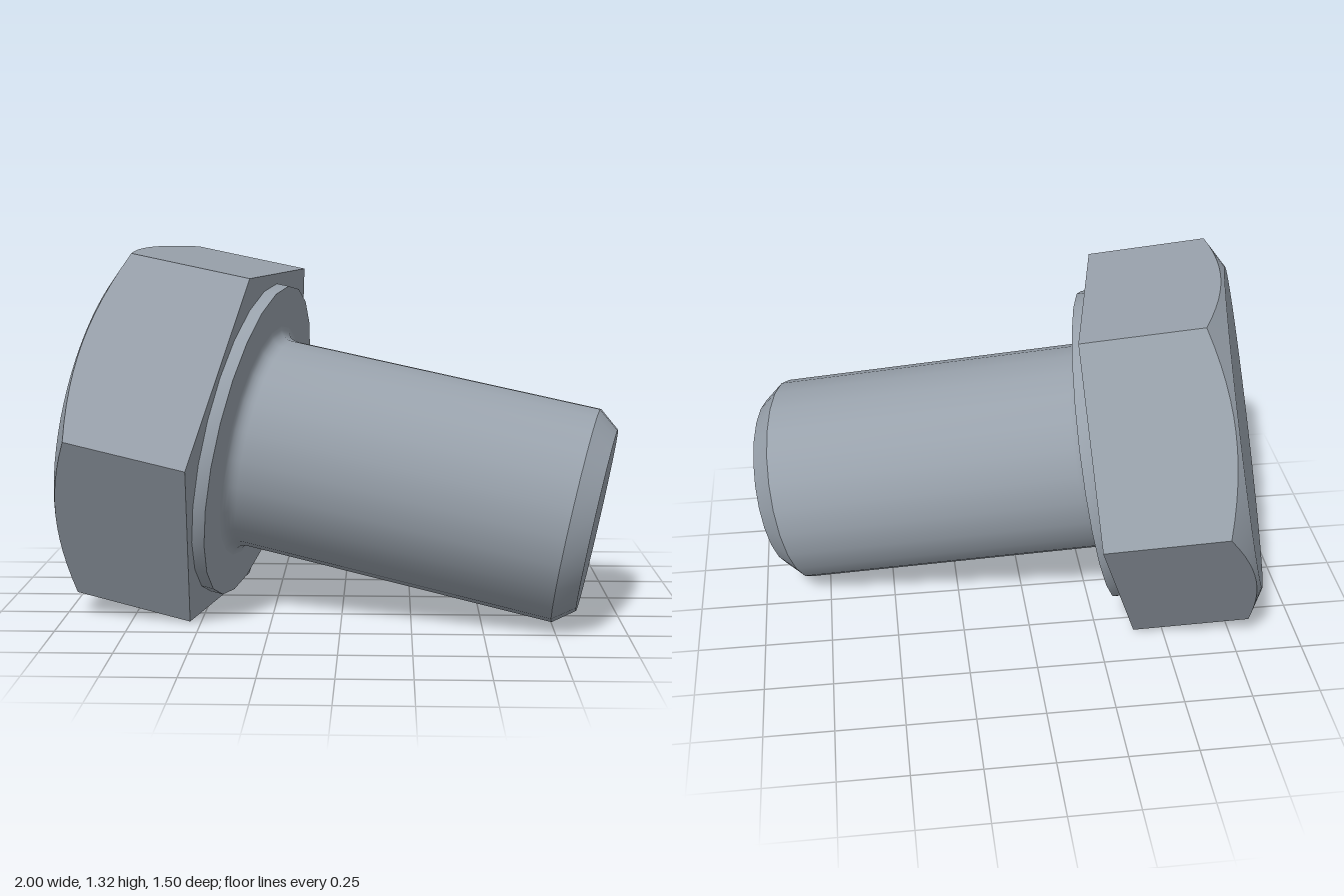
import * as THREE from 'three';
import { toCreasedNormals } from 'three/addons/utils/BufferGeometryUtils.js';

const CORNER = 0.72, FLAT = CORNER * Math.cos(Math.PI / 6); // hexagon radii
const HEAD = 0.504, CROWN = 0.603;                          // head height, radius of its end face
const LENGTH = 1.31, SHANK = 0.39, COLLAR = 0.585, STEP = 0.045;

const lathe = (points, segments) =>
  new THREE.LatheGeometry(points.map(([r, y]) => new THREE.Vector2(r, y)), segments);

// Hexagonal head: a turned blank pushed out to six flats, with a 30 degree conical chamfer
function headGeometry() {
  const geo = lathe([[0, -HEAD], [CROWN, -HEAD], [1, -HEAD / 2], [1, 0], [0, 0]], 72);
  const pos = geo.attributes.position;
  for (let i = 0; i < pos.count; i++) {
    const x = pos.getX(i), y = pos.getY(i), z = pos.getZ(i);
    if (Math.hypot(x, z) < 0.9) continue;
    const phi = Math.atan2(x, z), sector = Math.PI / 3;
    const r = FLAT / Math.cos(phi - sector * Math.round(phi / sector));
    const top = -HEAD + (r - CROWN) * Math.tan(Math.PI / 6);
    pos.setXYZ(i, r * Math.sin(phi), y < -0.1 ? top : 0, r * Math.cos(phi));
  }
  return geo;
}

// Shank with a small fillet at the root and a chamfered tip
function shankGeometry() {
  const fillet = 0.045, points = [];
  for (let i = 0; i <= 5; i++) {
    const a = (i / 5) * Math.PI / 2;
    points.push([SHANK + fillet * (1 - Math.sin(a)), STEP + fillet * (1 - Math.cos(a))]);
  }
  points.push([SHANK, LENGTH - 0.075], [0.33, LENGTH], [0, LENGTH]);
  return lathe(points, 24);
}

export function createModel() {
  const steel = new THREE.MeshStandardMaterial({ color: 0x98a1ab });
  steel.name = 'steel';

  const bolt = new THREE.Group();
  bolt.name = 'hexBolt';
  const add = (name, geometry) => {
    const mesh = new THREE.Mesh(toCreasedNormals(geometry, 0.45), steel);
    mesh.name = name;
    bolt.add(mesh);
  };
  add('head', headGeometry());
  add('collar', lathe([[COLLAR, 0], [COLLAR, STEP], [SHANK, STEP]], 24));
  add('shank', shankGeometry());

  // Tilt the bolt so its axis points right, slightly down and forward
  const axis = new THREE.Vector3(0.961, -0.188, 0.203).normalize();
  const side = new THREE.Vector3(axis.z, 0, -axis.x).normalize();
  const third = new THREE.Vector3().crossVectors(side, axis);
  bolt.quaternion.setFromRotationMatrix(new THREE.Matrix4().makeBasis(side, axis, third));
  bolt.position.set(-0.35, 0.62, 0.046);

  const model = new THREE.Group();
  model.name = 'model';
  model.add(bolt);
  return model;
}
